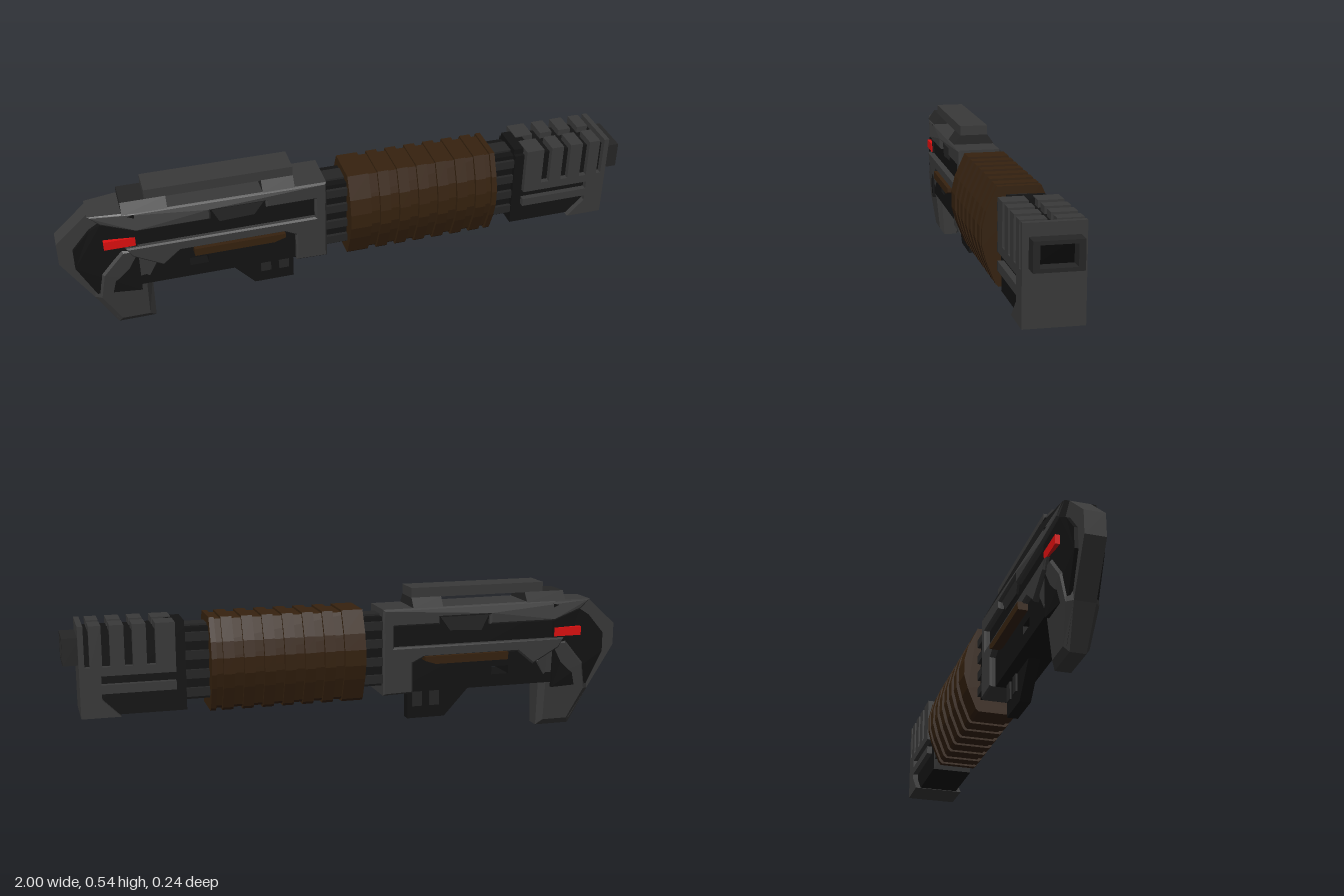
import * as THREE from 'three';

const mat = (color) => new THREE.MeshStandardMaterial({ color, flatShading: true });

export function createModel() {
  const g = new THREE.Group();
  g.name = 'blaster';
  const grey = mat(0x3a3a3a), mid = mat(0x262626), dark = mat(0x131313);
  const black = mat(0x060606), brown = mat(0x36220f), red = mat(0xe01010);

  const add = (geo, m, name) => {
    const mesh = new THREE.Mesh(geo, m);
    mesh.name = name;
    g.add(mesh);
    return mesh;
  };
  const toShape = (pts) => new THREE.Shape(pts.map(([x, y]) => new THREE.Vector2(x, y)));
  // box given by its extents
  const box = (x0, x1, y0, y1, z0, z1, m, name) =>
    add(new THREE.BoxGeometry(x1 - x0, y1 - y0, z1 - z0)
      .translate((x0 + x1) / 2, (y0 + y1) / 2, (z0 + z1) / 2), m, name);
  // side profile extruded to z = +-half, with an optional chamfer and see-through holes
  const plate = (pts, half, m, name, chamfer = 0, holes = []) => {
    const s = toShape(pts);
    holes.forEach((h) => s.holes.push(toShape(h)));
    const geo = new THREE.ExtrudeGeometry(s, {
      depth: 2 * (half - chamfer), bevelEnabled: chamfer > 0, bevelSegments: 1,
      bevelThickness: chamfer, bevelSize: chamfer, bevelOffset: -chamfer,
    }).translate(0, 0, chamfer - half);
    return add(geo, m, name);
  };
  // cross-section (z, y) extruded from x0 to x1
  const prism = (shape, x0, x1, m, name) =>
    add(new THREE.ExtrudeGeometry(shape, { depth: x1 - x0, bevelEnabled: false })
      .rotateY(Math.PI / 2).translate(x0, 0, 0), m, name);
  const mirrored = (half) => [...half, ...half.slice().reverse().map(([z, y]) => [-z, y])];
  // scales z of a mesh as a function of x and y
  const taper = (mesh, f) => {
    const p = mesh.geometry.attributes.position;
    for (let i = 0; i < p.count; i++) p.setZ(i, p.getZ(i) * f(p.getX(i), p.getY(i)));
    mesh.geometry.computeVertexNormals();
  };
  const rearTaper = (x) => THREE.MathUtils.clamp(0.7 + 0.3 * (x + 0.89) / 0.15, 0.7, 1);

  // Stock and receiver core
  plate([[-1, 0.29], [-0.9, 0.13], [-0.83, 0.02], [-0.76, 0.1], [-0.74, 0.3], [-0.74, 0.475],
    [-0.89, 0.47], [-1, 0.37]], 0.034, grey, 'stockRim');
  taper(plate([[-0.95, 0.27], [-0.89, 0.15], [-0.74, 0.15], [-0.74, 0.46], [-0.85, 0.435],
    [-0.89, 0.41], [-0.95, 0.34]], 0.066, dark, 'stockSide'), rearTaper);
  plate([[-0.76, 0.168], [-0.12, 0.168], [-0.12, 0.46], [-0.76, 0.46]], 0.058, dark, 'receiverCore', 0,
    [[[-0.57, 0.212], [-0.505, 0.212], [-0.505, 0.242], [-0.57, 0.242]]]);

  // Upper shell with the notch in its lower edge
  taper(plate([[-0.89, 0.47], [-0.85, 0.435], [-0.74, 0.4], [-0.49, 0.4], [-0.49, 0.435], [-0.3, 0.435],
    [-0.3, 0.41], [-0.13, 0.41], [-0.09, 0.38], [-0.09, 0.472], [-0.74, 0.475]], 0.077, grey, 'upperShell', 0.006), rearTaper);
  plate([[-0.49, 0.44], [-0.46, 0.38], [-0.34, 0.385], [-0.3, 0.44]], 0.066, mid, 'shellInset');

  // Lower shell running into the front block
  plate([[-0.76, 0.3], [-0.66, 0.245], [-0.6, 0.295], [-0.24, 0.295], [-0.2, 0.275], [-0.2, 0.168],
    [-0.09, 0.165], [-0.09, 0.42], [-0.13, 0.42], [-0.13, 0.335], [-0.78, 0.335]], 0.077, grey, 'lowerShell', 0.006);

  // Grip, narrowing towards the bottom
  const grip = plate([[-0.83, 0], [-0.7, 0], [-0.7, 0.17], [-0.66, 0.25], [-0.7, 0.335], [-0.8, 0.335],
    [-0.88, 0.24], [-0.9, 0.13]], 0.066, grey, 'grip', 0.022);
  taper(grip, (x, y) => 0.58 + 0.42 * Math.min(1, y / 0.28));

  // Coloured side details
  box(-0.85, -0.745, 0.34, 0.372, -0.068, 0.068, red, 'sideMarker');
  plate([[-0.555, 0.3], [-0.24, 0.3], [-0.24, 0.285], [-0.28, 0.272], [-0.555, 0.272]], 0.091, brown, 'sideInlay');

  // Lower guard and trigger block
  plate([[-0.45, 0.18], [-0.34, 0.06], [-0.2, 0.06], [-0.2, 0.18]], 0.019, dark, 'triggerBlock');
  for (const x of [-0.3, -0.235]) box(x - 0.018, x + 0.018, 0.105, 0.175, -0.025, 0.025, mid, 'triggerBlockRib');

  // Top rail on two flared mounts
  box(-0.7, -0.2, 0.505, 0.54, -0.05, 0.05, grey, 'topRail');
  const mount = toShape(mirrored([[0.074, 0.472], [0.05, 0.506]]));
  prism(mount, -0.78, -0.63, mid, 'rearRailMount');
  prism(mount, -0.31, -0.2, mid, 'frontRailMount');

  // Barrel core with lengthwise rods
  box(-0.11, 0.64, 0.2, 0.445, -0.058, 0.058, dark, 'barrelCore');
  for (const y of [0.225, 0.287, 0.352, 0.415]) box(-0.1, 0.63, y - 0.015, y + 0.015, -0.07, 0.07, mid, 'barrelRod');
  box(-0.1, 0.63, 0.44, 0.452, -0.03, 0.03, mid, 'barrelTopStrip');

  // Ribbed pump handle
  const pump = [[0.065, 0.155], [0.075, 0.165], [0.105, 0.24], [0.118, 0.29], [0.118, 0.345], [0.105, 0.4], [0.07, 0.478]];
  const inner = pump.map(([z, y]) => [z * 0.9, 0.316 + (y - 0.316) * 0.955]);
  prism(toShape(mirrored(inner)), -0.01, 0.515, brown, 'pumpCore');
  const rib = toShape(mirrored(pump));
  prism(rib, -0.015, 0.06, brown, 'pumpRib');
  for (let i = 0; i < 6; i++) prism(rib, 0.092 + i * 0.07, 0.13 + i * 0.07, brown, 'pumpRib');
  prism(rib, 0.502, 0.52, brown, 'pumpRib');

  // Muzzle core, front plate and side bands
  box(0.6, 0.94, 0.168, 0.45, -0.074, 0.074, dark, 'muzzleCore');
  box(0.6, 0.66, 0.44, 0.47, -0.06, 0.06, dark, 'muzzleRearCap');
  plate([[0.82, 0.165], [0.95, 0.165], [0.95, 0.473], [0.932, 0.473], [0.932, 0.335], [0.635, 0.335], [0.635, 0.305],
    [0.88, 0.305], [0.88, 0.275], [0.635, 0.275], [0.635, 0.245], [0.88, 0.245], [0.88, 0.225]], 0.094, grey, 'muzzleShell');

  // Muzzle fins, split by a channel along the top
  for (const [x0, x1] of [[0.635, 0.7], [0.73, 0.775], [0.802, 0.848], [0.875, 0.915]]) {
    for (const s of [-1, 1]) {
      const z = [s * 0.014, s * 0.094].sort((a, b) => a - b);
      box(x0, x1, 0.33, 0.473, z[0], z[1], grey, 'muzzleFin');
    }
  }

  // Hollow rectangular tip
  const rect = (z, y0, y1) => [[-z, y0], [z, y0], [z, y1], [-z, y1]];
  const tip = toShape(rect(0.075, 0.342, 0.433));
  tip.holes.push(toShape(rect(0.055, 0.354, 0.421)));
  prism(tip, 0.94, 1, mid, 'muzzleTip');
  box(0.945, 0.955, 0.35, 0.425, -0.06, 0.06, black, 'bore');
  return g;
}
